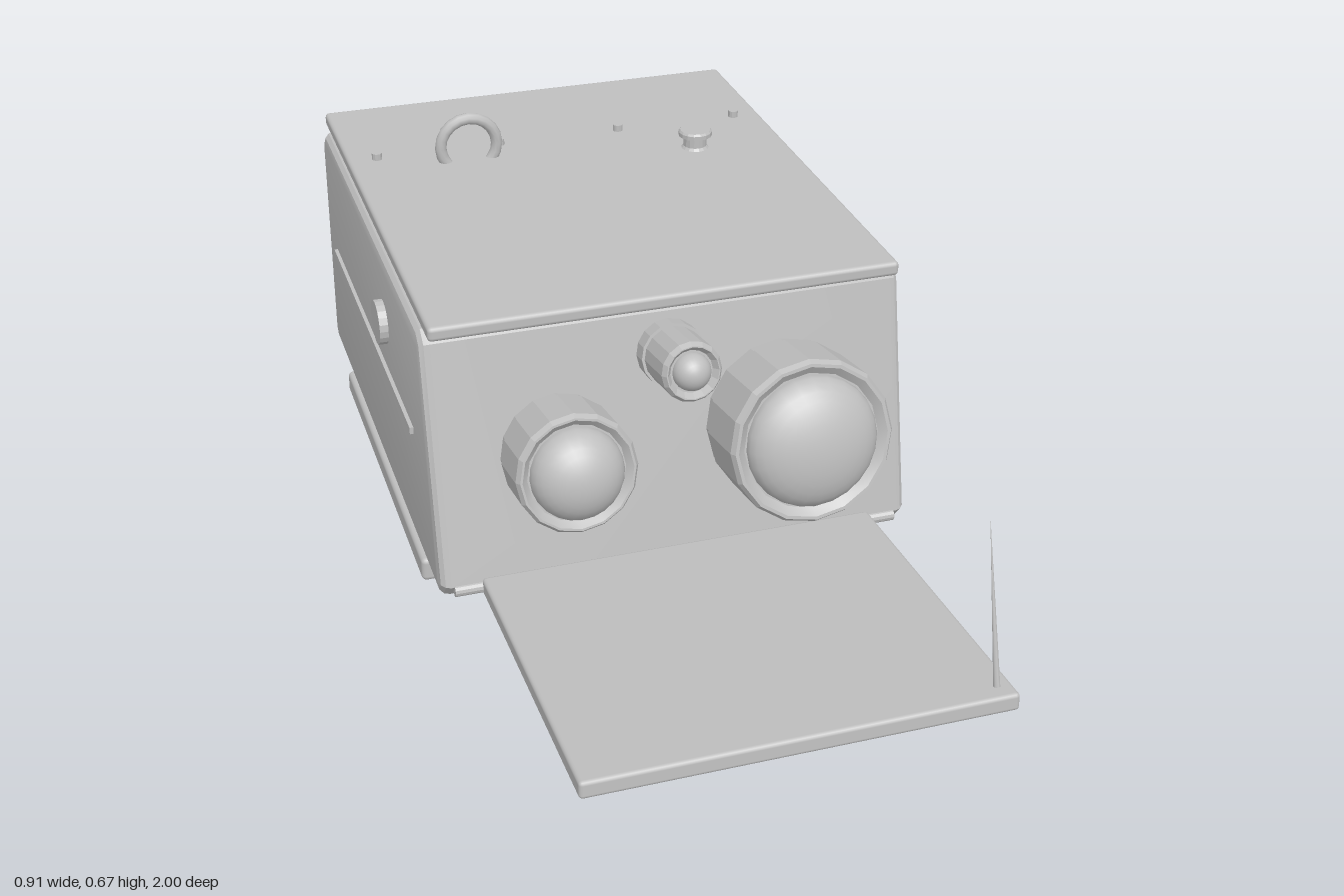
import * as THREE from 'three';
import { toCreasedNormals } from 'three/addons/utils/BufferGeometryUtils.js';
import { RoundedBoxGeometry } from 'three/addons/geometries/RoundedBoxGeometry.js';

export function createModel() {
  const model = new THREE.Group();
  const grey = new THREE.MeshStandardMaterial({ color: 0xbfbfbf });
  grey.name = 'grey metal';

  const add = (name, geo, x = 0, y = 0, z = 0, parent = model) => {
    const mesh = new THREE.Mesh(geo, grey);
    mesh.name = name;
    mesh.position.set(x, y, z);
    parent.add(mesh);
    return mesh;
  };
  // Softened box given by its limits
  const block = (name, x0, x1, y0, y1, z0, z1, r = 0.008) =>
    add(name, new RoundedBoxGeometry(x1 - x0, y1 - y0, z1 - z0, 2, r),
      (x0 + x1) / 2, (y0 + y1) / 2, (z0 + z1) / 2);
  const faceted = (geo) => toCreasedNormals(geo, 0.3);
  const lathe = (points, sides) =>
    faceted(new THREE.LatheGeometry(points.map(([r, h]) => new THREE.Vector2(r, h)), sides));
  const rod = (r, length, sides = 12) => faceted(new THREE.CylinderGeometry(r, r, length, sides));

  // Housing: side profile with cut corners and a sloping front
  const bevel = 0.02;
  const corners = [[-0.635, 0.07], [0.387, 0.07], [0.29, 0.553], [-0.635, 0.553]]
    .map(([z, y]) => new THREE.Vector2(z, y));
  const centre = new THREE.Vector2(-0.15, 0.31);
  const profile = [];
  corners.forEach((c, i) => {
    const inset = (p) => p.clone().add(new THREE.Vector2(
      Math.sign(centre.x - p.x) * bevel, Math.sign(centre.y - p.y) * bevel));
    const p = inset(c);
    const before = inset(corners[(i + 3) % 4]).sub(p).setLength(0.012).add(p);
    const after = inset(corners[(i + 1) % 4]).sub(p).setLength(0.012).add(p);
    profile.push(before, after);
  });
  const housing = new THREE.ExtrudeGeometry(new THREE.Shape(profile), {
    depth: 0.84, bevelSize: bevel, bevelThickness: bevel, bevelSegments: 3,
  });
  housing.translate(0, 0, -0.42).rotateY(-Math.PI / 2);
  add('housing', toCreasedNormals(housing, 0.5));

  // Lid and base
  block('lid', -0.427, 0.427, 0.548, 0.575, -0.663, 0.315);
  block('basePlate', -0.44, 0.44, 0, 0.048, -0.513, 0.22, 0.01);
  block('baseSpacer', -0.415, 0.415, 0.045, 0.075, -0.49, 0.195, 0.004);

  // Lens barrels set square to the sloping front
  const slope = 0.2;
  const lens = (name, x, y, radius, glass, length, bulge) => {
    const group = new THREE.Group();
    group.name = name;
    group.position.set(x, y, 0.387 - (y - 0.07) * 0.2);
    group.rotation.x = Math.PI / 2 - slope;
    model.add(group);
    const lip = (radius - glass) * 0.4;
    add(name + 'Barrel', lathe([
      [radius * 0.97, -0.02], [radius * 0.97, length * 0.12], [radius, length * 0.15],
      [radius, length - 0.01], [radius - 0.006, length], [radius - lip, length],
      [glass + 0.004, length - 0.012], [0, length - 0.012],
    ], 16), 0, 0, 0, group);
    const dome = new THREE.SphereGeometry(glass, 24, 8, 0, Math.PI * 2, 0, Math.PI / 2);
    dome.scale(1, (bulge + 0.012) / glass, 1);
    add(name + 'Glass', dome, 0, length - 0.012, 0, group);
    return group;
  };
  lens('largeLens', 0.207, 0.311, 0.15, 0.12, 0.15, 0.048);
  lens('mediumLens', -0.21, 0.314, 0.108, 0.083, 0.13, 0.048);
  const small = lens('smallLens', 0, 0.462, 0.054, 0.034, 0.135, 0.02);
  add('smallLensCollar', rod(0.059, 0.04, 16), 0, 0.01, 0, small);

  // Open front flap with its inset underside panel
  const flap = new THREE.Group();
  flap.name = 'frontFlap';
  flap.position.set(0, 0.11, 0.69);
  flap.rotation.x = -0.068;
  model.add(flap);
  add('flapPlate', new RoundedBoxGeometry(0.73, 0.032, 0.618, 2, 0.007), 0, 0, 0, flap);
  add('flapPanel', new THREE.BoxGeometry(0.68, 0.004, 0.57), 0, -0.017, 0, flap);

  // Hinge rod and knuckles
  add('hingeRod', rod(0.011, 0.83).rotateZ(Math.PI / 2), 0, 0.088, 0.383);
  for (const x of [-0.245, 0, 0.245])
    add('hingeKnuckle', rod(0.013, 0.11).rotateZ(Math.PI / 2), x, 0.071, 0.385);

  // Thin spike standing on the flap corner
  const spike = add('spike', new THREE.ConeGeometry(0.006, 0.29, 8), 0.337, 0.285, 0.928);
  spike.rotation.x = -0.27;

  // Lifting ring, knob and screws on the lid
  add('liftingRing', new THREE.TorusGeometry(0.056, 0.0115, 10, 20), -0.197, 0.604, -0.348);
  add('knob', lathe([[0.028, 0], [0.023, 0.006], [0.023, 0.024], [0.033, 0.027],
    [0.033, 0.035], [0.03, 0.039], [0, 0.039]], 16), 0.245, 0.574, -0.275);
  for (const x of [-0.37, -0.123, 0.123, 0.37])
    add('lidScrew', rod(0.01, 0.02), x, 0.578, -0.4);

  // Side buttons and trim strips
  for (const s of [-1, 1]) {
    add('sideButton', rod(0.042, 0.03, 20).rotateZ(Math.PI / 2), s * 0.441, 0.418, -0.025);
    add('sideStrip', new THREE.BoxGeometry(0.012, 0.013, 0.74), s * 0.441, 0.32, -0.16);
  }

  // Screwed plate on the back
  block('backPlate', 0.095, 0.345, 0.27, 0.43, -0.662, -0.63);
  for (const x of [0.13, 0.31]) for (const y of [0.295, 0.405])
    add('backScrew', rod(0.01, 0.02).rotateX(Math.PI / 2), x, y, -0.664);

  // Cable socket, gland nut and drooping cable
  block('cableBox', -0.31, -0.195, 0.155, 0.345, -0.775, -0.62);
  add('glandNut', lathe([[0.045, -0.03], [0.045, 0.01], [0.067, 0.012], [0.067, 0.055],
    [0.06, 0.062], [0.05, 0.062], [0.046, 0.078], [0, 0.078]], 12)
    .rotateX(-Math.PI / 2), -0.25, 0.25, -0.77);
  const cablePath = new THREE.Vector3(0, -0.098, -0.175);
  const cable = add('cable', rod(0.023, cablePath.length(), 8), -0.25, 0.202, -0.9);
  cable.quaternion.setFromUnitVectors(new THREE.Vector3(0, 1, 0), cablePath.normalize());

  return model;
}
